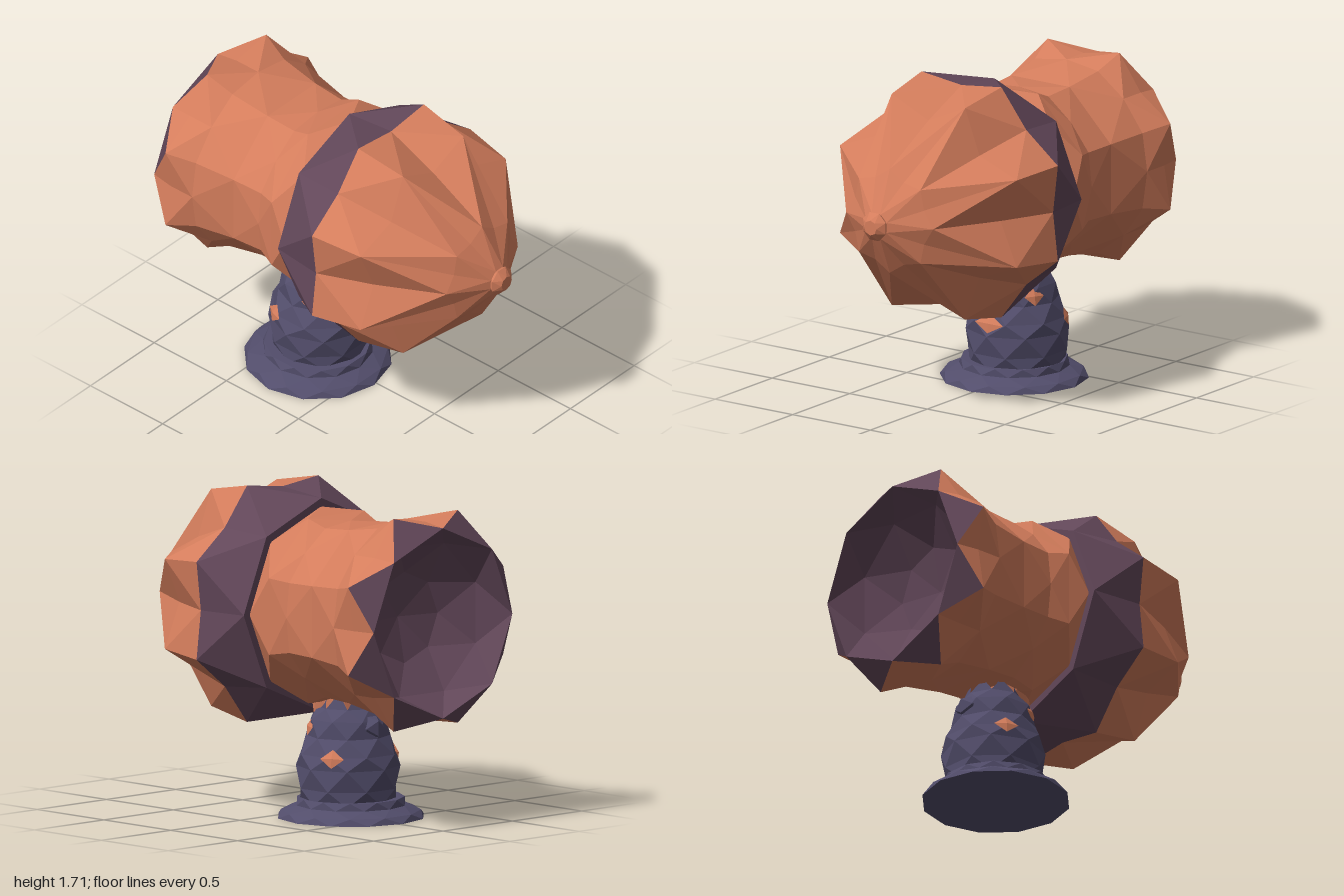
import * as THREE from 'three';

const ORANGE = 0xd47d5c, PLUM = 0x624759, SLATE = 0x524d6b;

// Faceted skin through rings [height, radius, phase, midRadius].
// Corners sit on even (phase 0) or odd (phase 1) columns, so rings of
// opposite phase join as triangles. keep: 'lower' or 'upper' triangles only.
function skin(rings, sides = 8, keep = 'both') {
  const cols = sides * 2, pos = [];
  const point = ([h, r, phase, mid = r * Math.cos(Math.PI / sides)], j) => {
    const a = (j / cols) * Math.PI * 2;
    const rad = j % 2 === phase ? r : mid;
    return [rad * Math.sin(a), h, rad * Math.cos(a)];
  };
  for (let i = 0; i < rings.length - 1; i++) {
    for (let j = 0; j < cols; j++) {
      const a0 = point(rings[i], j), a1 = point(rings[i], (j + 1) % cols);
      const b0 = point(rings[i + 1], j), b1 = point(rings[i + 1], (j + 1) % cols);
      const peak = j % 2 === rings[i][2];
      if (keep !== 'upper') pos.push(...a0, ...a1, ...(peak ? b1 : b0));
      if (keep !== 'lower') pos.push(...(peak ? a0 : a1), ...b1, ...b0);
    }
  }
  const geo = new THREE.BufferGeometry();
  geo.setAttribute('position', new THREE.Float32BufferAttribute(pos, 3));
  geo.computeVertexNormals();
  return geo;
}

function part(parent, name, geometry, color, side = THREE.FrontSide) {
  const mesh = new THREE.Mesh(geometry, new THREE.MeshStandardMaterial({ color, flatShading: true, side }));
  mesh.name = name;
  parent.add(mesh);
  return mesh;
}

export function createModel() {
  const model = new THREE.Group();

  // Horizontal body, its rings running from back to front
  const body = new THREE.Group();
  body.name = 'body';
  body.position.y = 1.09;
  body.rotation.x = Math.PI / 2;
  model.add(body);

  part(body, 'nose', skin([
    [0.2, 0.59, 0, 0.672], [0.49, 0.617, 1, 0.465], [0.83, 0.28, 0, 0.24], [0.95, 0.07, 1],
  ]), ORANGE);
  part(body, 'noseTip', skin([
    [0.93, 0.06, 0], [0.965, 0.08, 1], [1, 0.04, 0], [1, 0, 0],
  ]), ORANGE);
  part(body, 'collar', skin([
    [-0.09, 0.4, 0], [-0.09, 0.56, 0], [0.2, 0.672, 1, 0.59],
  ]), PLUM);
  part(body, 'rearBody', skin([
    [-0.87, 0.605, 1, 0.52], [-0.72, 0.52, 0, 0.53], [-0.49, 0.492, 1],
    [-0.31, 0.465, 0, 0.48], [-0.2, 0.525, 1], [-0.085, 0.515, 0],
  ]), ORANGE);

  // Rear rim: alternating orange and plum teeth around a hollow mouth
  const rim = [[-1, 0.5, 0], [-0.87, 0.605, 1, 0.52]];
  part(body, 'rimTeethOrange', skin(rim, 8, 'upper'), ORANGE);
  part(body, 'rimTeethPlum', skin(rim, 8, 'lower'), PLUM);
  part(body, 'mouth', skin([
    [-0.66, 0, 0], [-0.71, 0.24, 0], [-0.84, 0.42, 1], [-1, 0.5, 0],
  ]), PLUM);

  // Stand
  const stand = new THREE.Group();
  stand.name = 'stand';
  stand.position.z = -0.29;
  model.add(stand);

  const foot = part(stand, 'foot', skin([
    [0, 0, 0], [0, 0.39, 0], [0.035, 0.365, 1], [0.065, 0.29, 0],
    [0.105, 0.28, 1], [0.105, 0, 1],
  ], 12), SLATE);
  foot.position.x = -0.02;
  part(stand, 'column', skin([
    [0.08, 0.25, 0], [0.16, 0.265, 1], [0.27, 0.272, 0], [0.34, 0.262, 1],
    [0.43, 0.22, 0], [0.52, 0.205, 1], [0.58, 0.16, 0],
  ]), SLATE);
  part(stand, 'columnCrown', skin([[0.58, 0.16, 0], [0.66, 0.12, 1]], 8, 'lower'), SLATE, THREE.DoubleSide);
  const core = part(stand, 'core', skin([[0.44, 0.1, 0], [0.55, 0.14, 1], [0.7, 0.15, 0]]), ORANGE);
  core.position.z = 0.07;

  // Diamond patches: [angle around the column, height, distance, half width]
  const patches = [[0, 0.337, 0.25, 0.09]];
  for (const s of [-1, 1]) {
    patches.push([s * Math.PI * 0.65, 0.335, 0.256, 0.065], [s * Math.PI * 0.34, 0.48, 0.207, 0.055]);
  }
  for (const [angle, y, dist, w] of patches) {
    const patch = part(stand, 'diamondPatch', new THREE.OctahedronGeometry(1), ORANGE);
    patch.scale.set(w, 0.05, 0.012);
    patch.position.set(Math.sin(angle) * dist, y, Math.cos(angle) * dist);
    patch.rotation.set(-0.3, angle, 0, 'YXZ');
  }

  // Small knob behind the neck
  const knob = part(stand, 'rearKnob', new THREE.IcosahedronGeometry(0.075), SLATE);
  knob.position.set(0, 0.485, -0.165);

  return model;
}
